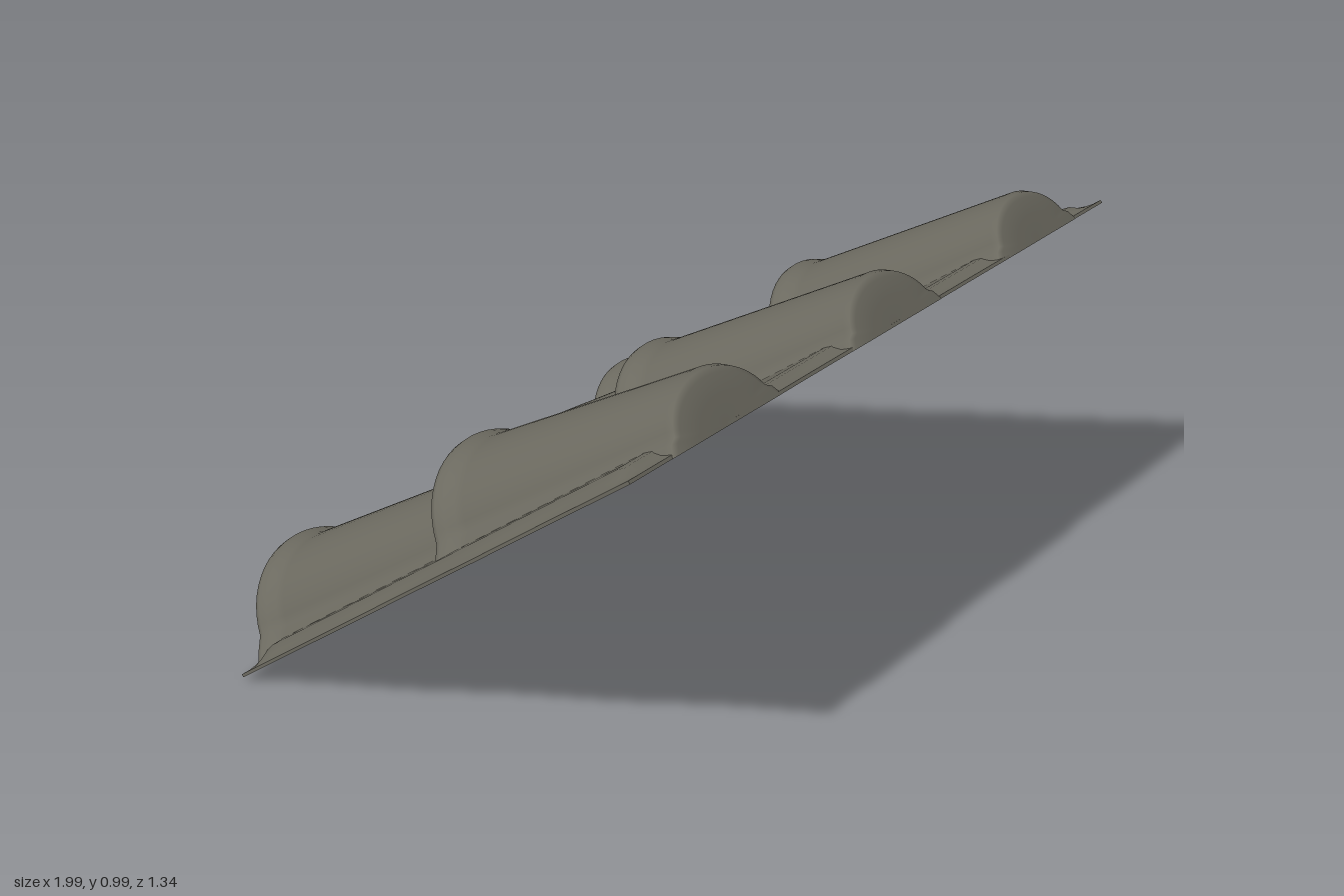
import * as THREE from 'three';

const HALF_LENGTH = 0.733;

// Arched cross-section with a small flared foot on each side
function archProfile(a, h) {
  const pts = [[1.17 * a, 0], [1.07 * a, Math.min(0.035, h * 0.2)]];
  const n = 24;
  for (let i = 0; i <= n; i++) {
    const t = THREE.MathUtils.degToRad(16 + (148 * i) / n);
    pts.push([a * Math.cos(t), h * Math.sin(t)]);
  }
  pts.push([-1.07 * a, Math.min(0.035, h * 0.2)], [-1.17 * a, 0]);
  return pts;
}

// Skin a list of [position along slope, half width, height] rings
function tileGeometry(rings) {
  const pos = [], idx = [];
  let count = 0;
  rings.forEach(([s, a, h], j) => {
    const p = archProfile(a, h);
    count = p.length;
    p.forEach(([x, y]) => pos.push(x, y, s));
    if (j === 0) return;
    for (let i = 0; i < count - 1; i++) {
      const q = (j - 1) * count + i, r = j * count + i;
      idx.push(q, r, q + 1, q + 1, r, r + 1);
    }
  });
  const g = new THREE.BufferGeometry();
  g.setAttribute('position', new THREE.Float32BufferAttribute(pos, 3));
  g.setIndex(idx);
  g.computeVertexNormals();
  return g;
}

// Rolled lip and dished cap at the wide lower end of each tile
const lipRings = (s) => [
  [s + 0.09, 0.218, 0.217], [s + 0.065, 0.222, 0.222], [s + 0.04, 0.235, 0.234],
  [s + 0.02, 0.244, 0.242], [s + 0.005, 0.242, 0.241], [s - 0.004, 0.232, 0.23],
  [s, 0.215, 0.21], [s + 0.014, 0.19, 0.18], [s + 0.018, 0.12, 0.11], [s + 0.018, 0.001, 0.001],
];

// Thin base sheet, feathered and slightly uneven at its edges
function sheetGeometry() {
  const g = new THREE.BoxGeometry(2, 1, 2, 64, 1, 56);
  const p = g.attributes.position;
  const edge = (d) => THREE.MathUtils.smoothstep(d, 0, 0.07);
  for (let i = 0; i < p.count; i++) {
    const u = p.getX(i), v = p.getZ(i), top = p.getY(i) > 0;
    const thickness = 0.008 + 0.028 * edge(1 - Math.abs(u)) * edge((1 - Math.abs(v)) * HALF_LENGTH);
    const x = u * (0.993 + 0.004 * Math.sin(9 * v + u));
    const z = v * (HALF_LENGTH - 0.003 + 0.004 * Math.sin(11 * u + 2 * v));
    p.setXYZ(i, x, top ? thickness : 0, z);
  }
  g.computeVertexNormals();
  return g;
}

export function createModel() {
  const model = new THREE.Group();
  model.name = 'roofSection';
  const clay = new THREE.MeshStandardMaterial({ color: 0x6b695f, side: THREE.DoubleSide });
  clay.name = 'weathered grey clay';

  const add = (geometry, name, x = 0) => {
    const m = new THREE.Mesh(geometry, clay);
    m.name = name;
    m.position.x = x;
    roof.add(m);
  };

  // Sloping frame: local z runs up the slope, local y is its normal
  const roof = new THREE.Group();
  roof.name = 'slopedRoof';
  roof.position.set(0, 0.447, 0.0625);
  roof.rotation.set(THREE.MathUtils.degToRad(-36.1), 0, 0.0165);
  model.add(roof);

  add(sheetGeometry(), 'baseSheet');

  // Upper tiles start with a closed narrow end; lower ones slide beneath them
  const upper = tileGeometry([
    [0.733, 0.001, 0.001], [0.735, 0.1, 0.07], [0.733, 0.155, 0.112],
    [0.727, 0.167, 0.128], [0.712, 0.173, 0.137], ...lipRings(0),
  ]);
  const lower = tileGeometry([[0.06, 0.172, 0.148], [-0.02, 0.178, 0.162], ...lipRings(-0.738)]);
  for (const x of [-0.66, 0, 0.66]) {
    add(upper, 'upperTile', x);
    add(lower, 'lowerTile', x);
  }
  return model;
}
